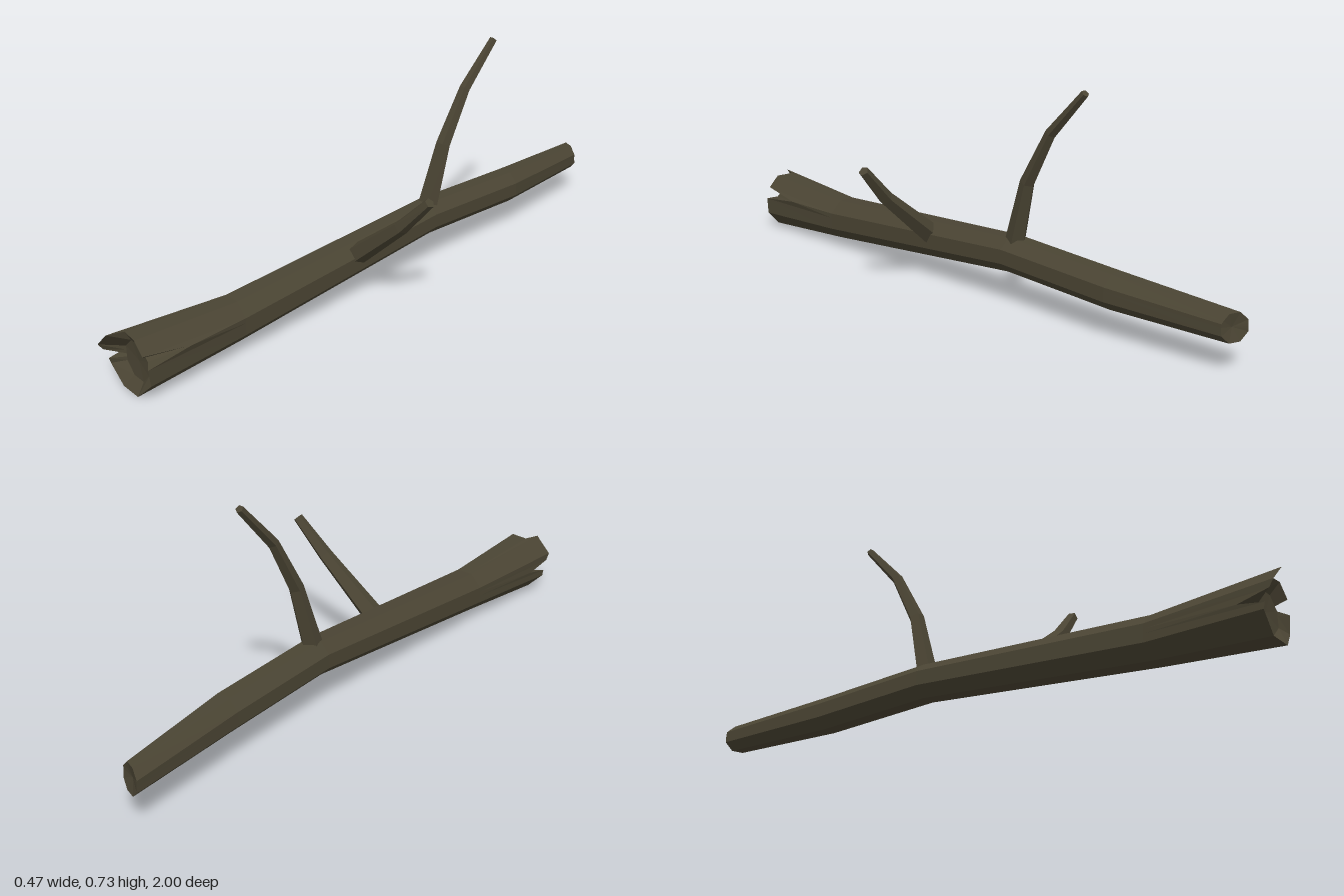
import * as THREE from 'three';

const V = (x, y, z) => new THREE.Vector3(x, y, z);
const DEG = Math.PI / 180;

// Skin a list of equal-length rings (counter-clockwise about the direction of travel) and cap both ends
function loft(rings, startCentre, endCentre) {
  const pos = [];
  const tri = (...pts) => pts.forEach((p) => pos.push(p.x, p.y, p.z));
  const n = rings[0].length;
  for (let i = 0; i < n; i++) {
    const j = (i + 1) % n;
    for (let k = 0; k < rings.length - 1; k++) {
      const a = rings[k], b = rings[k + 1];
      tri(a[i], a[j], b[j]);
      tri(a[i], b[j], b[i]);
    }
    const last = rings[rings.length - 1];
    tri(startCentre, rings[0][j], rings[0][i]);
    tri(endCentre, last[i], last[j]);
  }
  const geo = new THREE.BufferGeometry();
  geo.setAttribute('position', new THREE.Float32BufferAttribute(pos, 3));
  geo.computeVertexNormals();
  return geo;
}

// Distance from centre to the outline of a flat-bottomed octagon of circumradius r
function octagonRadius(r, deg) {
  const off = deg - Math.round(deg / 45) * 45;
  return (r * Math.cos(22.5 * DEG)) / Math.cos(off * DEG);
}

// Trunk: columns of [angle, z where the broken front rim ends]; low z values are splits in the wood
function trunkGeometry() {
  const columns = [
    [10, 0.95], [22.5, 0.8], [36, 0.955], [67.5, 0.955], [103, 0.95], [112.5, 1], [157.5, 1],
    [170, 0.985], [182, 0.89], [192, 0.97], [202.5, 0.965], [247.5, 0.96], [292.5, 0.96], [337.5, 0.945],
  ];
  const ring = (cx, cy, r, zAt) => columns.map(([deg, rim]) => {
    const d = octagonRadius(r, deg), a = deg * DEG;
    return V(cx + d * Math.cos(a), cy + d * Math.sin(a), zAt(deg, rim));
  });
  const frontRing = ring(-0.091, 0.092, 0.099, (deg, rim) => rim);
  // Split columns end part-way along the taper, so pull them in to the narrower trunk there
  frontRing.forEach((p) => {
    const s = THREE.MathUtils.lerp(0.8, 1, THREE.MathUtils.clamp((p.z - 0.6) / 0.33, 0, 1));
    p.x = -0.091 + (p.x + 0.091) * s;
    p.y = 0.092 + (p.y - 0.092) * s;
  });
  const rings = [
    ring(-0.192, 0.139, 0.046, (deg) => -0.985 - 0.015 * Math.cos((deg - 190) * DEG)),
    ring(-0.146, 0.15, 0.059, () => -0.6),
    ring(-0.127, 0.165, 0.06, () => -0.2),
    ring(-0.097, 0.097, 0.073, () => 0.6),
    frontRing,
    ring(-0.091, 0.089, 0.063, () => 0.93),
  ];
  return loft(rings, V(-0.192, 0.139, -0.975), V(-0.091, 0.089, 0.925));
}

// Side branch: five-sided tube with one flat face to the front, stations of [x, y, z, radius]
function branchGeometry(stations) {
  const pts = stations.map(([x, y, z]) => V(x, y, z));
  const rings = stations.map(([, , , r], i) => {
    const t = pts[Math.min(i + 1, pts.length - 1)].clone().sub(pts[Math.max(i - 1, 0)]).normalize();
    const front = V(0, 0, 1).addScaledVector(t, -t.z).normalize();
    const side = t.clone().cross(front);
    return [36, 108, 180, 252, 324].map((deg) => pts[i].clone()
      .addScaledVector(front, r * Math.cos(deg * DEG))
      .addScaledVector(side, r * Math.sin(deg * DEG)));
  });
  return loft(rings, pts[0], pts[pts.length - 1]);
}

export function createModel() {
  const bark = new THREE.MeshStandardMaterial({ color: 0x4a4433, flatShading: true });
  bark.name = 'bark';
  const group = new THREE.Group();
  group.name = 'fallenBranch';
  const add = (name, geo) => {
    const mesh = new THREE.Mesh(geo, bark);
    mesh.name = name;
    group.add(mesh);
  };

  add('trunk', trunkGeometry());
  add('tallBranch', branchGeometry([
    [-0.125, 0.19, -0.207, 0.034],
    [-0.114, 0.41, -0.268, 0.024],
    [-0.113, 0.58, -0.36, 0.018],
    [-0.114, 0.72, -0.488, 0.0125],
  ]));
  add('sideBranch', branchGeometry([
    [-0.08, 0.155, 0.138, 0.036],
    [0.118, 0.32, 0.122, 0.024],
    [0.221, 0.431, 0.102, 0.0165],
  ]));
  return group;
}
